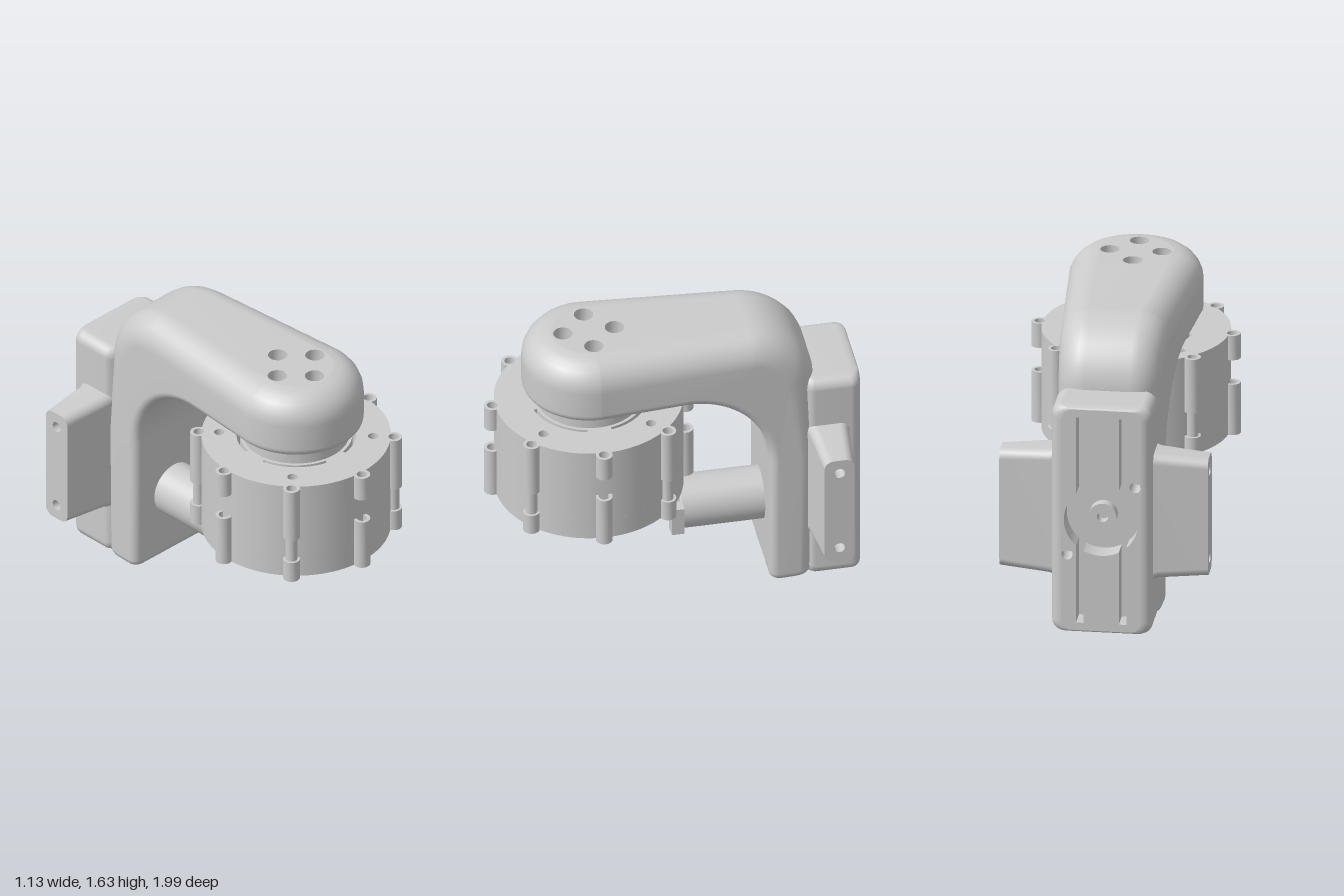
import * as THREE from 'three';
import { toCreasedNormals } from 'three/addons/utils/BufferGeometryUtils.js';

const V2 = (x, y) => new THREE.Vector2(x, y);
const V3 = (x, y, z) => new THREE.Vector3(x, y, z);
const grey = new THREE.MeshStandardMaterial({ color: 0xcccccc });
const greyOpen = new THREE.MeshStandardMaterial({ color: 0xcccccc, side: THREE.DoubleSide });

function add(parent, name, geo, x = 0, y = 0, z = 0, mat = grey) {
  const m = new THREE.Mesh(geo, mat);
  m.name = name;
  m.position.set(x, y, z);
  parent.add(m);
  return m;
}

// Skin a list of equal-length rings; optional fan cap on the last ring
function loft(rings, capEnd = false, skip = () => false) {
  const n = rings[0].length, idx = [], pts = rings.flat();
  for (let i = 0; i < rings.length - 1; i++) for (let j = 0; j < n; j++) {
    if (skip(i, j)) continue;
    const k = (j + 1) % n, a = i * n + j, b = i * n + k, c = b + n, d = a + n;
    idx.push(a, b, c, a, c, d);
  }
  if (capEnd) {
    const last = rings[rings.length - 1], base = pts.length;
    const mid = last.reduce((s, p) => s.add(p), V3(0, 0, 0)).divideScalar(n);
    pts.push(...last, mid);
    for (let j = 0; j < n; j++) idx.push(base + j, base + (j + 1) % n, base + n);
  }
  const g = new THREE.BufferGeometry().setFromPoints(pts);
  g.setIndex(idx);
  g.computeVertexNormals();
  return g;
}

// Counter-clockwise rounded rectangle from half sizes
function roundRect(w, h, r) {
  const out = [];
  [[1, 1], [-1, 1], [-1, -1], [1, -1]].forEach(([sx, sy], q) => {
    for (let k = 0; k <= 6; k++) {
      const a = (q + k / 6) * Math.PI / 2;
      out.push(V2(sx * (w - r) + r * Math.cos(a), sy * (h - r) + r * Math.sin(a)));
    }
  });
  return out;
}

const circle = (x, y, r) => new THREE.Path().absarc(x, y, r, 0, Math.PI * 2, false);
const arcSlot = (r0, r1, a, b) => new THREE.Path().absarc(0, 0, r1, a, b, false).absarc(0, 0, r0, b, a, true);
const extrude = (shape, depth) => toCreasedNormals(
  new THREE.ExtrudeGeometry(shape, { depth, bevelEnabled: false, curveSegments: 12 }), 0.5);
const upright = (shape, depth) => extrude(shape, depth).rotateX(-Math.PI / 2);

// Blind stepped hole opening towards +y
const cup = (r, depth) => toCreasedNormals(new THREE.LatheGeometry(
  [V2(0, -depth * 1.6), V2(r * 0.5, -depth * 1.6), V2(r * 0.5, -depth), V2(r, -depth), V2(r, 0)], 24), 0.5);

const AXIS = 0.43; // z of the motor axis

function buildArm(root) {
  const arm = new THREE.Group();
  arm.name = 'arm';
  root.add(arm);
  const RI = 0.05, RO = 0.16;
  const width = z => Math.max(0.28, 0.36 - 0.077 * (AXIS - z));
  // Half cross-section: [outer side?, inset from the side, depth from the face]
  const half = ro => {
    const h = [];
    for (let k = 0; k <= 6; k++) { const a = k * Math.PI / 12; h.push([false, RI * (1 - Math.sin(a)), RI * (1 - Math.cos(a))]); }
    for (let k = 0; k <= 6; k++) { const a = k * Math.PI / 12; h.push([true, ro * (1 - Math.cos(a)), ro * (1 - Math.sin(a))]); }
    return h;
  };
  const ring = (oz, oy, iz, iy, nz, ny, ro = RO, e = 0) => {
    const side = s => half(ro).map(([outer, inset, d]) => {
      const z = outer ? oz - nz * (d + e) : iz + nz * (d + e);
      const y = outer ? oy - ny * (d + e) : iy + ny * (d + e);
      return V3(s * (width(z) - inset - e), y, z);
    });
    return [...side(-1), ...side(1).reverse()];
  };
  const rings = [AXIS, 0.2].map(z => ring(z, 1.63, z, 1.275, 0, 1));
  for (let k = 0; k <= 20; k++) {
    const a = k / 20 * Math.PI / 2, nz = -Math.sin(a), ny = Math.cos(a);
    rings.push(ring(-0.4 + 0.36 * nz, 1.27 + 0.36 * ny, -0.03 + 0.47 * nz, 0.805 + 0.47 * ny, nz, ny));
  }
  rings.push(ring(-0.74, 0.8, -0.5, 0.6, -1, 0, 0.07));
  for (let k = 0; k <= 5; k++) {
    const a = k * Math.PI / 10, y = 0.05 * (1 - Math.sin(a));
    rings.push(ring(-0.73, y, -0.5, y, -1, 0, 0.07, 0.05 * (1 - Math.cos(a))));
  }
  add(arm, 'bentArm', loft(rings, true, (i, j) => i === 0 && j === 13));

  // Half-round head
  const profile = [V2(0, 1.275), ...half(RO).map(([o, inset, d]) => V2(0.36 - inset, o ? 1.63 - d : 1.275 + d))];
  add(arm, 'armHead', new THREE.LatheGeometry(profile, 40, -Math.PI / 2, Math.PI), 0, 0, AXIS);

  // Flat top with four counterbored holes
  const wb = width(0.2) - RO, top = new THREE.Shape();
  top.absarc(0, 0, 0.2, Math.PI, Math.PI * 2, false).lineTo(wb, 0.23).lineTo(-wb, 0.23);
  for (const [x, y] of [[0, 0.14], [0, -0.14], [0.14, 0], [-0.14, 0]]) {
    top.holes.push(circle(x, y, 0.052));
    add(arm, 'armBoltHole', cup(0.052, 0.1), x, 1.63, AXIS - y, greyOpen);
  }
  add(arm, 'armTop', new THREE.ShapeGeometry(top, 20).rotateX(-Math.PI / 2), 0, 1.63, AXIS);
}

function buildMotor(root) {
  const motor = new THREE.Group();
  motor.name = 'motor';
  motor.position.z = AXIS;
  root.add(motor);
  const R = 0.505, C = 0.52, NOTCH = 0.03;
  const angle = k => (-2.2 + 45 * k) * Math.PI / 180;

  // Disc notched by the lug bores, with four screw holes
  const plate = () => {
    const d = Math.acos((R * R + C * C - NOTCH * NOTCH) / (2 * R * C));
    const f = Math.atan2(R * Math.sin(d), R * Math.cos(d) - C), s = new THREE.Shape();
    for (let k = 0; k < 8; k++) {
      const b = angle(k + 1);
      s.absarc(0, 0, R, angle(k) + d, b - d, false);
      s.absarc(C * Math.cos(b), C * Math.sin(b), NOTCH, b - f, b + f, true);
    }
    for (let k = 0; k < 4; k++) {
      const a = angle(2 * k + 1);
      s.holes.push(circle(0.41 * Math.cos(a), 0.41 * Math.sin(a), 0.028));
    }
    return s;
  };
  const topPlate = plate(), bottomPlate = plate();
  for (let k = 0; k < 4; k++) {
    const a = k * Math.PI / 2;
    topPlate.holes.push(arcSlot(0.3, 0.318, a + 0.2, a + 1.35));
    bottomPlate.holes.push(arcSlot(0.17, 0.182, a + 0.1, a + 1.45));
  }
  bottomPlate.holes.push(circle(0, 0, 0.08));
  add(motor, 'motorTopPlate', upright(topPlate, 0.14), 0, 1.05, 0);
  add(motor, 'motorBottomPlate', upright(bottomPlate, 0.12), 0, 0.62, 0);
  add(motor, 'motorBody', new THREE.CylinderGeometry(R, R, 0.31, 96), 0, 0.895, 0);
  const hub = new THREE.Shape().absarc(0, 0, 0.068, 0, Math.PI * 2, false);
  hub.holes.push(circle(0, 0, 0.03));
  add(motor, 'motorHub', upright(hub, 0.12), 0, 0.62, 0);
  add(motor, 'neck', new THREE.CylinderGeometry(0.283, 0.283, 0.12, 64), 0, 1.24, 0);

  // Tubular lugs around the rim: [bottom, top, outer radius]
  const straight = [[0.62, 0.91, 0.045], [1.05, 1.19, 0.045]];
  const waisted = [[0.62, 0.74, 0.045], [0.74, 0.88, 0.031], [0.88, 1.19, 0.045]];
  for (let k = 0; k < 8; k++) for (const [y0, y1, r] of k % 2 ? waisted : straight) {
    const tube = new THREE.Shape().absarc(0, 0, r, 0, Math.PI * 2, false);
    tube.holes.push(circle(0, 0, 0.028));
    add(motor, 'rimLug', upright(tube, y1 - y0), C * Math.cos(angle(k)), y0, -C * Math.sin(angle(k)));
  }
}

function buildBackPlate(root) {
  const block = new THREE.Group();
  block.name = 'backBlock';
  block.position.set(0, 0.65, 0);
  root.add(block);
  // Rounded shell, open at the back
  const F = 0.055, steps = [];
  for (let k = 0; k <= 6; k++) {
    const a = k * Math.PI / 12;
    steps.push([-1 + F * (1 - Math.cos(a)), F * (1 - Math.sin(a))]);
  }
  steps.push([-0.75, 0], [-0.725, 0.012], [-0.705, 0.035], [-0.69, 0.065]);
  const outline = e => roundRect(0.27 - e, 0.65 - e * 0.3, 0.06);
  add(block, 'blockShell', loft(steps.map(([z, e]) => outline(e).map(p => V3(p.x, p.y, z))), true));

  // Back face: round pocket crossed by two long slots, plus two screw holes
  const S = 0.115, H = 0.02, R = 0.2, L = 0.59;
  const aOut = Math.acos((S + H) / R), aIn = Math.acos((S - H) / R), P = Math.PI;
  const pocket = new THREE.Path();
  pocket.absarc(0, 0, R, -aOut, aOut, false).lineTo(S + H, L).lineTo(S - H, L);
  pocket.absarc(0, 0, R, aIn, P - aIn, false).lineTo(H - S, L).lineTo(-S - H, L);
  pocket.absarc(0, 0, R, P - aOut, P + aOut, false).lineTo(-S - H, -L).lineTo(H - S, -L);
  pocket.absarc(0, 0, R, P + aIn, 2 * P - aIn, false).lineTo(S - H, -L).lineTo(S + H, -L);
  const face = new THREE.Shape(outline(F));
  face.holes.push(pocket, circle(-0.183, 0.2, 0.03), circle(0.183, -0.2, 0.03));
  add(block, 'backFace', extrude(face, 0.12), 0, 0, -1);
  add(block, 'pocketFloor', new THREE.BoxGeometry(0.44, 1.24, 0.02), 0, 0, -0.871);
  const ring = new THREE.Shape().absarc(0, 0, 0.075, 0, P * 2, false);
  ring.holes.push(circle(0, 0, 0.03));
  add(block, 'pocketBoss', extrude(ring, 0.07), 0, 0, -0.94);

  // Tapered side wings with two screw holes in each end
  for (const s of [1, -1]) {
    const wing = new THREE.Group();
    wing.name = s > 0 ? 'leftWing' : 'rightWing';
    wing.position.z = -0.82;
    wing.rotation.y = s * P / 2;
    block.add(wing);
    const sections = [[0.2, 0.118, 0.365], [0.27, 0.112, 0.36], [0.29, 0.106, 0.354], [0.56, 0.082, 0.335]];
    add(wing, 'wingSides', loft(sections.map(([z, w, h]) => roundRect(w, h, 0.05).map(p => V3(p.x, p.y, z)))));
    const end = new THREE.Shape(roundRect(0.082, 0.335, 0.05));
    for (const y of [-0.25, 0.25]) {
      end.holes.push(circle(0, y, 0.03));
      add(wing, 'wingScrewHole', cup(0.03, 0.08).rotateX(P / 2), 0, y, 0.56, greyOpen);
    }
    add(wing, 'wingEnd', new THREE.ShapeGeometry(end, 16), 0, 0, 0.56);
  }
}

function buildConnector(root) {
  const c = new THREE.Group();
  c.name = 'connector';
  c.position.set(0, 0.405, 0);
  root.add(c);
  const barrel = new THREE.LatheGeometry([V2(0.145, -0.55), V2(0.145, -0.052), V2(0.138, -0.045), V2(0, -0.045)], 48);
  add(c, 'barrel', toCreasedNormals(barrel, 0.5).rotateX(Math.PI / 2));
  add(c, 'barrelBoss', new THREE.CylinderGeometry(0.08, 0.08, 0.06, 40).rotateX(Math.PI / 2), 0, 0, -0.02);
  add(c, 'keyTab', new THREE.BoxGeometry(0.07, 0.165, 0.07), 0.145, 0, -0.02);
}

export function createModel() {
  const root = new THREE.Group();
  root.name = 'motorBracket';
  buildArm(root);
  buildMotor(root);
  buildBackPlate(root);
  buildConnector(root);
  return root;
}
